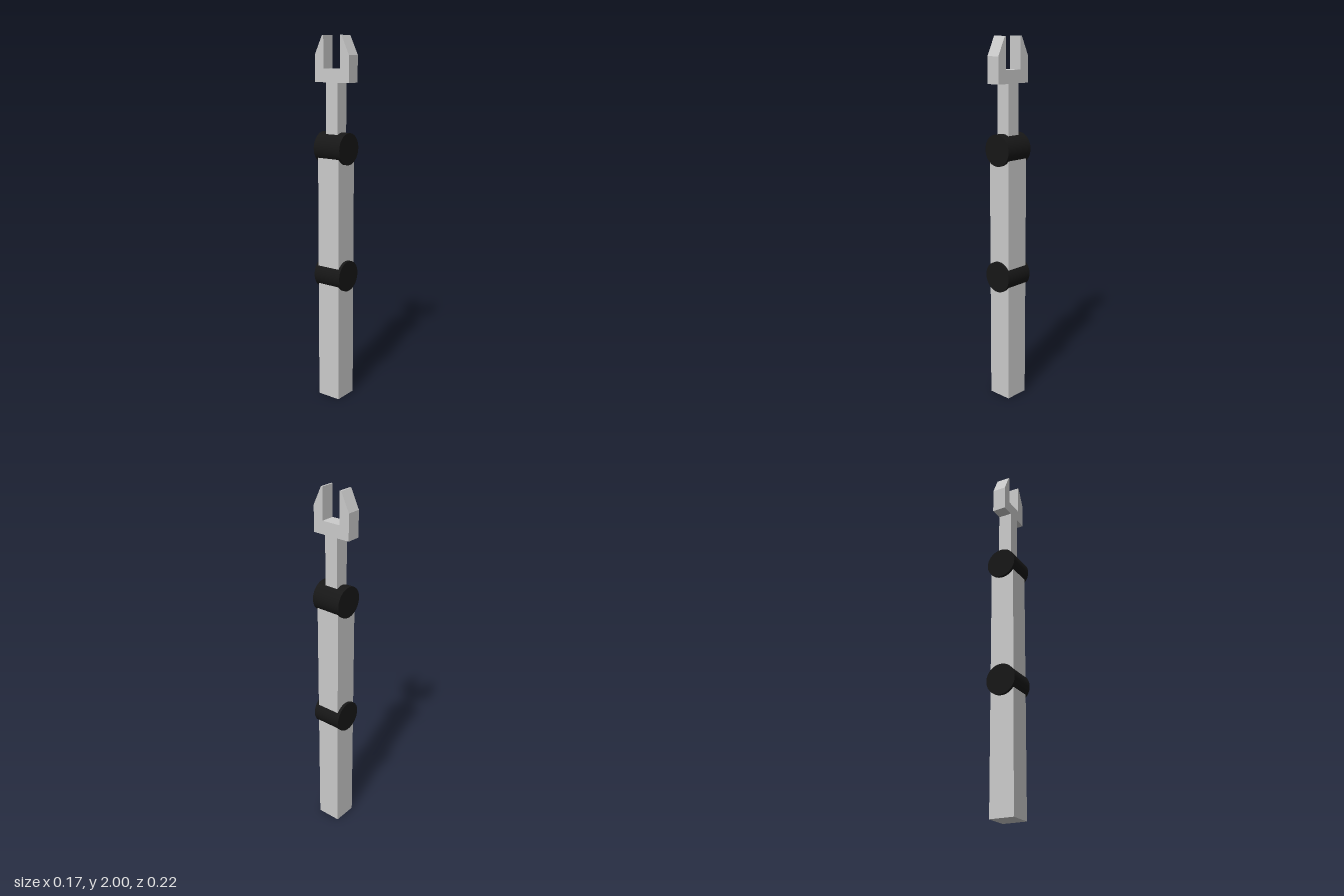
import * as THREE from 'three';

export function createModel() {
  const model = new THREE.Group();
  model.name = 'roboticArm';
  const grey = new THREE.MeshStandardMaterial({ color: 0xcccccc });
  const black = new THREE.MeshStandardMaterial({ color: 0x171717 });

  const add = (name, geometry, material, y = 0) => {
    const mesh = new THREE.Mesh(geometry, material);
    mesh.name = name;
    mesh.position.y = y;
    model.add(mesh);
  };
  // Square bar standing between two heights
  const bar = (name, width, bottom, top) =>
    add(name, new THREE.BoxGeometry(width, top - bottom, width), grey, (bottom + top) / 2);

  const elbowY = 0.715, wristY = 1.415;

  // Arm segments, each ending at the middle of a joint
  bar('lowerArm', 0.137, 0, elbowY);
  bar('upperArm', 0.137, elbowY, wristY);
  bar('wristStem', 0.077, wristY, 1.76);

  // Joint barrels, lying front to back
  for (const [name, y] of [['elbowJoint', elbowY], ['wristJoint', wristY]]) {
    add(name, new THREE.CylinderGeometry(0.085, 0.085, 0.17, 48).rotateX(Math.PI / 2), black, y);
  }

  // Two-fingered gripper: half profile (z, y), mirrored
  const half = [[0.111, 1.76], [0.111, 1.9], [0.063, 2], [0.054, 2], [0.054, 1.83]];
  const outline = [...half, ...half.map(([z, y]) => [-z, y]).reverse()];
  const shape = new THREE.Shape(outline.map(([z, y]) => new THREE.Vector2(z, y)));
  const gripper = new THREE.ExtrudeGeometry(shape, { depth: 0.077, bevelEnabled: false });
  gripper.translate(0, 0, -0.0385).rotateY(-Math.PI / 2);
  add('gripper', gripper, grey);

  return model;
}
